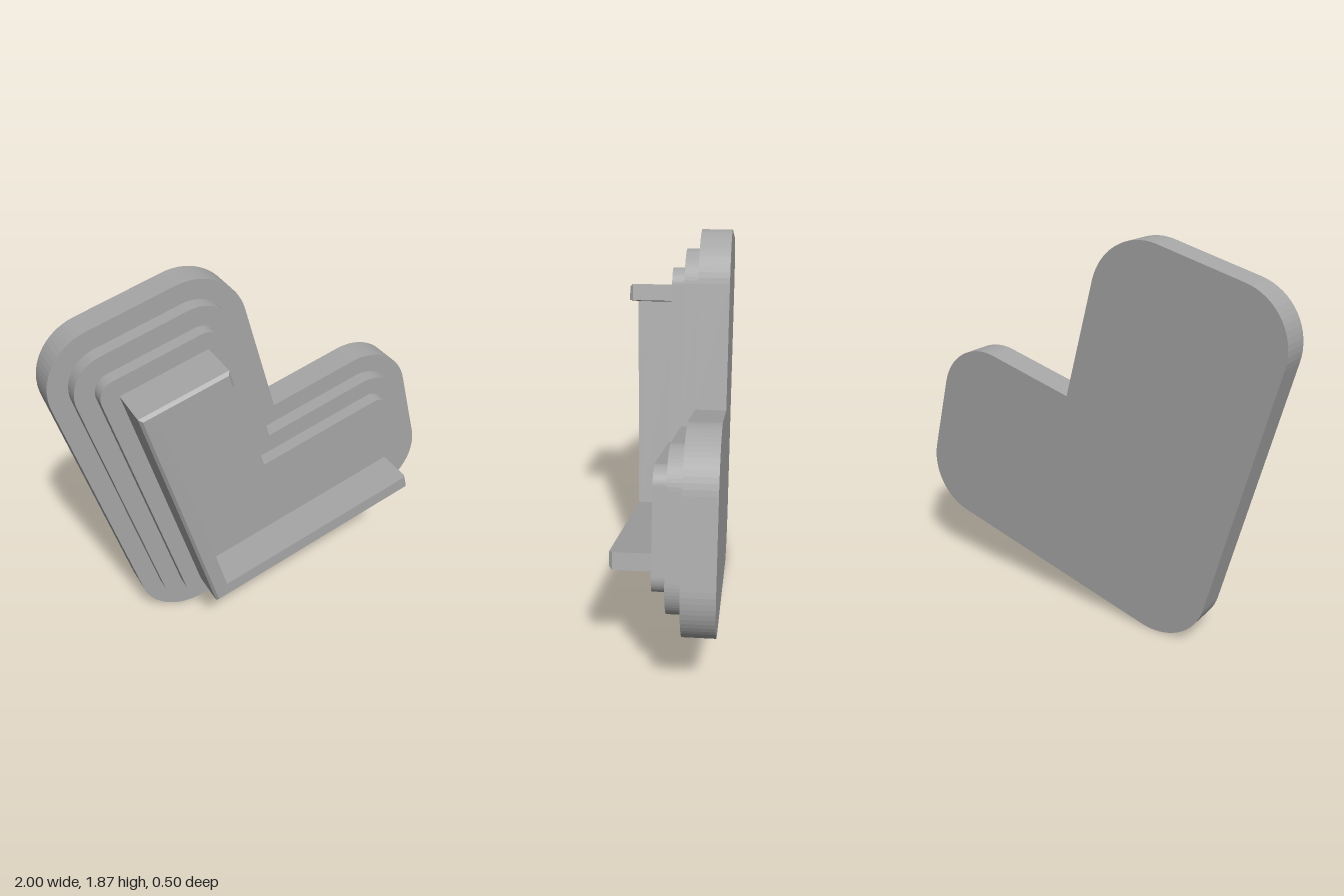
import * as THREE from 'three';

// Corner points of the L, measured along its own arms
const ARM = 1.17, HEIGHT = 1.258, STEM = 0.43, FOOT = 0.394;

// L outline grown by r: round outer corners, sharp inner notch
function outline(r) {
  const s = new THREE.Shape();
  const q = Math.PI / 2;
  s.absarc(0, 0, r, 2 * q, 3 * q);
  s.absarc(ARM, 0, r, 3 * q, 4 * q);
  s.absarc(ARM, FOOT, r, 0, q);
  s.lineTo(STEM + r, FOOT + r);
  s.absarc(STEM, HEIGHT, r, 0, q);
  s.absarc(0, HEIGHT, r, q, 2 * q);
  s.closePath();
  return s;
}

export function createModel() {
  const grey = new THREE.MeshStandardMaterial({ color: 0xa6a6a6 });
  grey.name = 'grey';
  const model = new THREE.Group();
  model.name = 'steppedBracket';

  const add = (name, geometry) => {
    const mesh = new THREE.Mesh(geometry, grey);
    mesh.name = name;
    model.add(mesh);
  };

  // Three stacked plates, each smaller than the one behind
  [
    ['backPlate', 0.272, -0.252, -0.104],
    ['middlePlate', 0.178, -0.104, -0.032],
    ['frontPlate', 0.085, -0.032, 0.035],
  ].forEach(([name, r, z0, z1]) => {
    const g = new THREE.ExtrudeGeometry(outline(r), { depth: z1 - z0, bevelEnabled: false, curveSegments: 8 });
    g.translate(0, 0, z0);
    add(name, g);
  });

  // Raised lip along three sides of the L
  const t = 0.08, hook = 0.438, c = 0.013;
  const lip = new THREE.Shape([
    [0, 0], [ARM, 0], [ARM, t], [t, t], [t, HEIGHT - t],
    [hook, HEIGHT - t], [hook, HEIGHT], [0, HEIGHT],
  ].map(([x, y]) => new THREE.Vector2(x, y)));
  const g = new THREE.ExtrudeGeometry(lip, { depth: 2, steps: 2, bevelEnabled: false });
  const p = g.attributes.position;
  const near = (a, b) => Math.abs(a - b) < 1e-4;
  for (let i = 0; i < p.count; i++) {
    let x = p.getX(i), y = p.getY(i);
    const level = Math.round(p.getZ(i));
    // The lip stands slightly taller towards the top
    const top = 0.23 + 0.022 * Math.min(1, Math.max(0, (y - t) / (HEIGHT - 2 * t)));
    const z = [0.035, top - 0.015, top][level];
    if (level === 2) {
      // Chamfer the outer edges and the two free ends
      if (near(x, 0)) x += c;
      else if (near(x, ARM) || near(x, hook)) x -= c;
      if (near(y, 0)) y += c;
      else if (near(y, HEIGHT)) y -= c;
    }
    p.setXYZ(i, x, y, z);
  }
  g.computeVertexNormals();
  add('raisedLip', g);

  // Tilt the whole L
  model.rotation.z = THREE.MathUtils.degToRad(15);
  model.position.set(-0.403, 0.272, 0);
  const root = new THREE.Group();
  root.name = 'model';
  root.add(model);
  return root;
}
